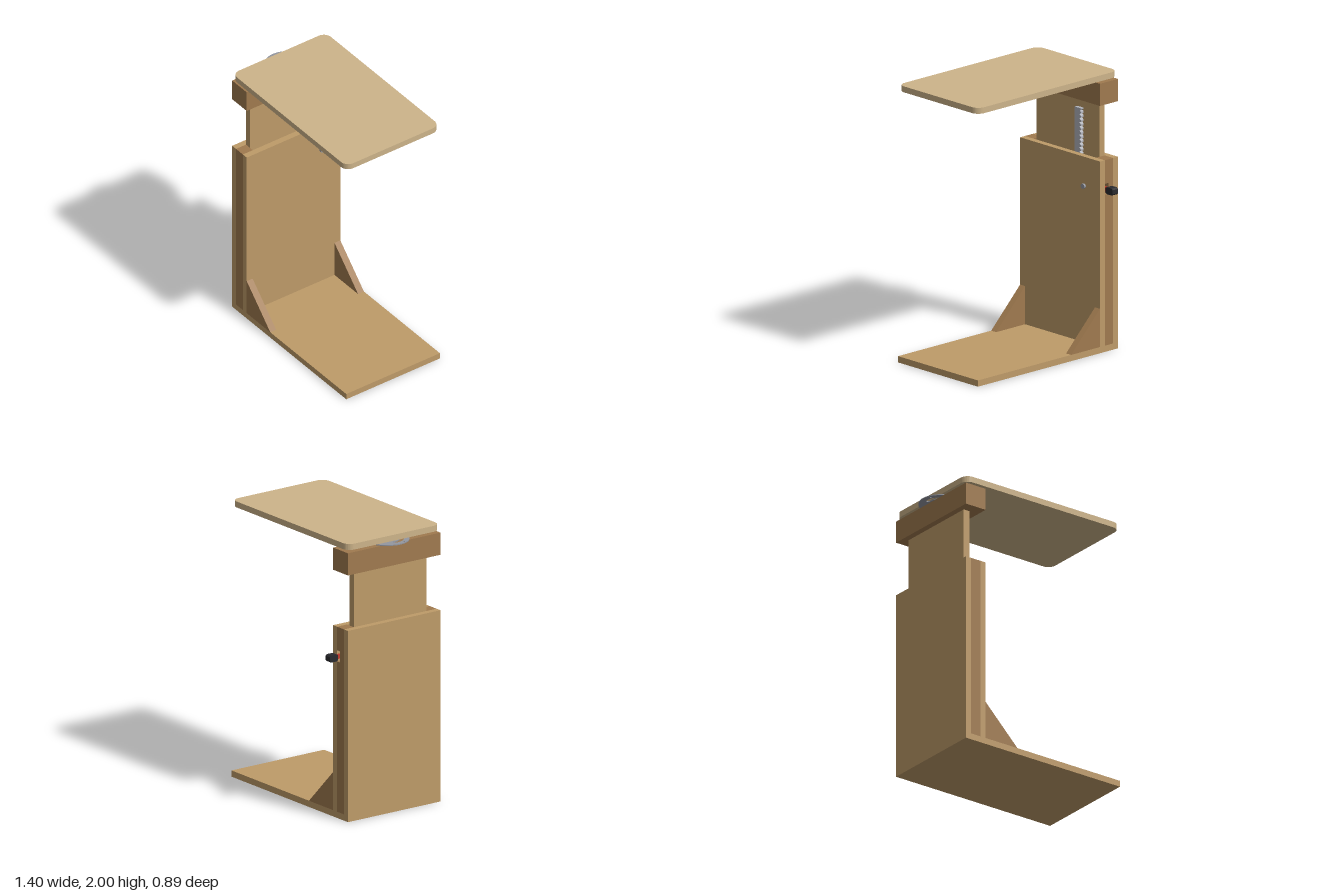
import * as THREE from 'three';
import { toCreasedNormals } from 'three/addons/utils/BufferGeometryUtils.js';

const mat = (color) => new THREE.MeshStandardMaterial({ color });

export function createModel() {
  const root = new THREE.Group();
  const wood = mat(0xbe9b69), darkWood = mat(0xa07a4f), topWood = mat(0xcdb48a);
  const steel = mat(0x9497a0), rackSteel = mat(0xb2b4bc), red = mat(0xc0392b), black = mat(0x2a2a2e);

  const add = (name, geometry, material) => {
    const mesh = new THREE.Mesh(geometry, material);
    mesh.name = name;
    root.add(mesh);
    return mesh;
  };
  // Box given by its limits on each axis
  const box = (name, material, x0, x1, y0, y1, z0, z1) => add(name,
    new THREE.BoxGeometry(x1 - x0, y1 - y0, z1 - z0)
      .translate((x0 + x1) / 2, (y0 + y1) / 2, (z0 + z1) / 2), material);
  const extrude = (shape, depth) => toCreasedNormals(
    new THREE.ExtrudeGeometry(shape, { depth, bevelEnabled: false, curveSegments: 24 }), 0.5);
  // Shape drawn as (-z, y), extruded along +x from x0
  const alongX = (shape, x0, x1) => extrude(shape, x1 - x0).rotateY(Math.PI / 2).translate(x0, 0, 0);
  // Shape drawn as (x, -z), extruded upwards from y0
  const alongY = (shape, y0, y1) => extrude(shape, y1 - y0).rotateX(-Math.PI / 2).translate(0, y0, 0);
  const poly = (pts) => new THREE.Shape(pts.map(([x, y]) => new THREE.Vector2(x, y)));
  const roundRect = (x0, x1, y0, y1, r, Type = THREE.Shape) => {
    const s = new Type();
    s.absarc(x1 - r, y1 - r, r, 0, Math.PI / 2);
    s.absarc(x0 + r, y1 - r, r, Math.PI / 2, Math.PI);
    s.absarc(x0 + r, y0 + r, r, Math.PI, Math.PI * 1.5);
    s.absarc(x1 - r, y0 + r, r, Math.PI * 1.5, Math.PI * 2);
    s.closePath();
    return s;
  };

  const zB = -0.355, zF = 0.445; // shared width of the frame

  // Foot board and hollow column
  box('base', wood, -0.63, 0.7, 0, 0.045, zB, zF);
  box('outerPanel', wood, -0.63, -0.585, 0.045, 1.38, zB, zF);
  box('innerPanel', wood, -0.505, -0.46, 0.045, 1.38, zB, zF);
  box('frontSpacer', darkWood, -0.585, -0.505, 0.045, 1.38, 0.36, zF);
  // Rear spacer leaves an opening for the release lever
  box('backSpacerLower', darkWood, -0.585, -0.505, 0.045, 1.13, zB, -0.27);
  box('backSpacerUpper', darkWood, -0.585, -0.505, 1.21, 1.38, zB, -0.27);
  box('backSpacerSide', darkWood, -0.585, -0.54, 1.13, 1.21, zB, -0.27);

  // Triangular braces
  for (const z of [zB, zF - 0.05]) {
    add('brace', extrude(poly([[-0.46, 0.045], [-0.185, 0.045], [-0.46, 0.32]]), 0.05)
      .translate(0, 0, z), darkWood);
  }

  // Sliding board with toothed rack
  box('slider', wood, -0.585, -0.535, 0.6, 1.78, -0.27, 0.36);
  const rack = [[0.108, 1.7], [0.108, 1.69], [0.1, 1.682]];
  const pitch = 0.03;
  for (let y = 1.675; y > 0.85; y -= pitch) {
    rack.push([0.112, y], [0.112, y - 0.012], [0.098, y - 0.018]);
  }
  rack.push([0.098, 0.8], [0.05, 0.8], [0.05, 1.7]);
  add('rack', alongX(poly(rack.reverse()), -0.535, -0.508), rackSteel);

  // Release lever, its pivot and knob
  box('lever', red, -0.53, -0.51, 1.155, 1.185, -0.385, -0.125);
  add('pivotBolt', new THREE.CylinderGeometry(0.018, 0.018, 0.13, 24)
    .rotateZ(Math.PI / 2).translate(-0.51, 1.17, -0.195), steel);
  const c = 0.01;
  add('knob', alongX(poly([
    [0.375 + c, 1.145], [0.445 - c, 1.145], [0.445, 1.145 + c], [0.445, 1.195 - c],
    [0.445 - c, 1.195], [0.375 + c, 1.195], [0.375, 1.195 - c], [0.375, 1.145 + c],
  ]), -0.545, -0.495), black);

  // Head block with a recess holding a latch
  box('headBlock', darkWood, -0.63, -0.5, 1.78, 1.94, zB, zF);
  const face = poly([[-zF, 1.78], [-zB, 1.78], [-zB, 1.94], [-zF, 1.94]]);
  face.holes.push(roundRect(-0.095, 0.005, 1.835, 1.882, 0.004, THREE.Path));
  add('headBlockFace', alongX(face, -0.5, -0.46), darkWood);
  add('latch', alongX(roundRect(-0.075, -0.015, 1.842, 1.876, 0.006), -0.5, -0.465), steel);

  // Swivel plate with two curved slots and small screw holes
  const disc = new THREE.Shape().absarc(0, 0, 0.157, 0, Math.PI * 2);
  for (const start of [Math.PI * 0.98, -Math.PI * 0.02]) {
    const end = start + Math.PI * 0.42, r = 0.105, w = 0.015;
    const slot = new THREE.Path();
    slot.absarc(0, 0, r + w, start, end);
    slot.absarc(r * Math.cos(end), r * Math.sin(end), w, end, end + Math.PI);
    slot.absarc(0, 0, r - w, end, start, true);
    slot.absarc(r * Math.cos(start), r * Math.sin(start), w, start + Math.PI, start + Math.PI * 2);
    disc.holes.push(slot);
  }
  for (let i = 0; i < 4; i++) {
    const a = Math.PI * (1.125 + i / 2);
    disc.holes.push(new THREE.Path().absarc(0.138 * Math.cos(a), 0.138 * Math.sin(a), 0.007, 0, Math.PI * 2));
  }
  add('swivelPlate', alongY(disc, 1.945, 1.952).translate(-0.543, 0, 0.045), steel);
  add('swivelHub', new THREE.CylinderGeometry(0.05, 0.05, 0.02, 32).translate(-0.543, 1.948, 0.045), steel);

  // Rounded table top
  add('tableTop', alongY(roundRect(-0.63, 0.7, -zF, -zB, 0.06), 1.957, 2), topWood);

  return root;
}
